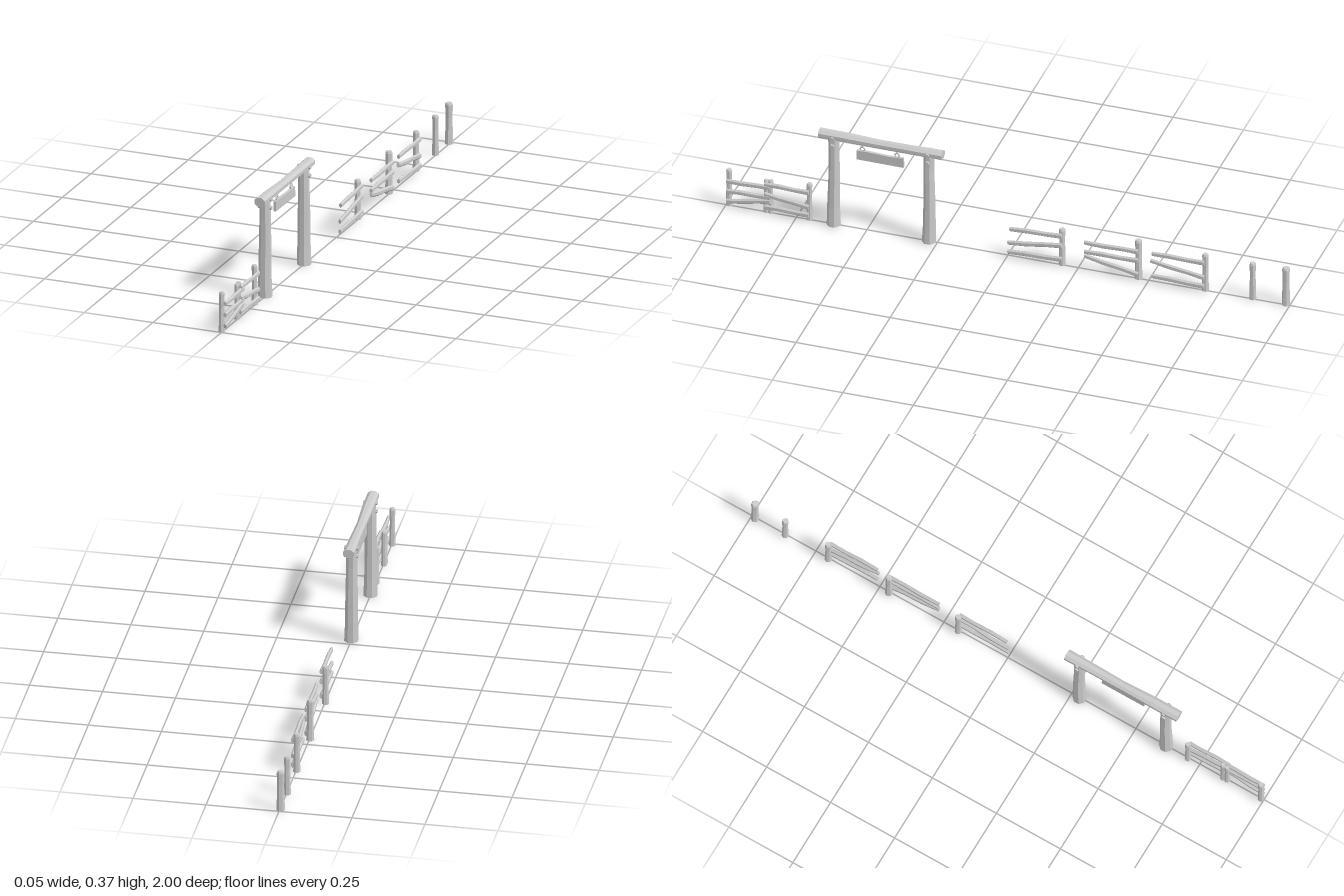
import * as THREE from 'three';

const material = new THREE.MeshStandardMaterial({ color: 0xcccccc, flatShading: true });

// Faceted log along a path in the y/z plane; each ring is [x, y, z, halfWidthX, halfThickness]
function log(name, rings, sides = 8) {
  const first = new THREE.Vector3(...rings[0].slice(0, 3));
  const last = new THREE.Vector3(...rings[rings.length - 1].slice(0, 3));
  const dir = last.clone().sub(first).normalize();
  const u = new THREE.Vector3(1, 0, 0);
  const v = dir.clone().cross(u).normalize();
  const pos = [], index = [];
  for (const [x, y, z, a, b] of rings) {
    for (let i = 0; i < sides; i++) {
      const t = ((i + 0.5) / sides) * Math.PI * 2;
      const k = 1 / Math.cos(Math.PI / sides);
      const p = new THREE.Vector3(x, y, z)
        .addScaledVector(u, Math.cos(t) * a * k)
        .addScaledVector(v, Math.sin(t) * b * k);
      pos.push(p.x, p.y, p.z);
    }
  }
  for (let r = 0; r < rings.length - 1; r++) {
    for (let i = 0; i < sides; i++) {
      const a = r * sides + i, b = r * sides + ((i + 1) % sides);
      index.push(a, b, b + sides, a, b + sides, a + sides);
    }
  }
  const end = (rings.length - 1) * sides;
  for (let i = 1; i < sides - 1; i++) {
    index.push(0, i + 1, i, end, end + i, end + i + 1);
  }
  const geometry = new THREE.BufferGeometry();
  geometry.setAttribute('position', new THREE.Float32BufferAttribute(pos, 3));
  geometry.setIndex(index);
  geometry.computeVertexNormals();
  const mesh = new THREE.Mesh(geometry, material);
  mesh.name = name;
  return mesh;
}

function add(parent, name, geometry, x, y, z) {
  const mesh = new THREE.Mesh(geometry, material);
  mesh.name = name;
  mesh.position.set(x, y, z);
  parent.add(mesh);
  return mesh;
}

// Upright fence post with an uneven shaft and a chamfered top
function fencePost(z, height, r = 0.01, x = -0.003) {
  return log('fencePost', [
    [x, 0, z, r * 1.15, r * 1.1],
    [x, height * 0.3, z, r, r],
    [x, height * 0.65, z, r * 0.9, r * 0.9],
    [x, height * 0.95, z, r * 1.05, r],
    [x, height, z, r * 0.8, r * 0.8],
  ], 7);
}

// Split rail, slightly crooked, from (z0, y0) to (z1, y1)
function fenceRail(z0, y0, z1, y1, bend) {
  const at = (t, lift, a, b) => [0.011 + lift * 0.4, y0 + (y1 - y0) * t + lift, z0 + (z1 - z0) * t, a, b];
  return log('fenceRail', [
    at(0, 0, 0.005, 0.0075),
    at(0.35, bend, 0.006, 0.0085),
    at(0.7, -bend * 0.5, 0.0055, 0.008),
    at(1, 0, 0.006, 0.009),
  ], 6);
}

export function createModel() {
  const model = new THREE.Group();
  model.name = 'ranchGateAndFence';

  // Gate
  const gate = new THREE.Group();
  gate.name = 'gate';
  model.add(gate);
  for (const z of [0.618, 0.28]) {
    const s = z > 0.4 ? 1 : -1;
    gate.add(log('gatePost', [
      [0, 0, z, 0.023, 0.022],
      [-0.001, 0.07, z + 0.001 * s, 0.021, 0.02],
      [-0.001, 0.18, z - 0.001, 0.02, 0.018],
      [-0.001, 0.28, z - 0.001 * s, 0.018, 0.017],
      [-0.001, 0.345, z, 0.017, 0.018],
    ]));
    // Pegs through the joint, showing on both faces
    for (const y of [0.35, 0.32]) {
      const peg = new THREE.CylinderGeometry(0.007, 0.007, 0.048, 6);
      peg.rotateZ(Math.PI / 2);
      add(gate, 'peg', peg, 0, y, z);
    }
  }
  gate.add(log('crossBeam', [
    [0, 0.353, 0.668, 0.019, 0.016],
    [0, 0.353, 0.57, 0.019, 0.015],
    [-0.001, 0.349, 0.45, 0.016, 0.014],
    [0, 0.35, 0.35, 0.017, 0.014],
    [0, 0.351, 0.23, 0.019, 0.015],
  ]));

  // Hanging sign board
  const sign = new THREE.Group();
  sign.name = 'hangingSign';
  gate.add(sign);
  const board = new THREE.Shape([
    [-0.083, 0.276], [0.083, 0.275], [0.082, 0.311], [0.03, 0.309], [-0.04, 0.312], [-0.083, 0.311],
  ].map(([x, y]) => new THREE.Vector2(x, y)));
  const boardGeometry = new THREE.ExtrudeGeometry(board, { depth: 0.01, bevelEnabled: false });
  boardGeometry.translate(0, 0, -0.005).rotateY(Math.PI / 2);
  add(sign, 'signBoard', boardGeometry, 0, 0, 0.452);
  for (const z of [0.516, 0.393]) {
    const ring = new THREE.TorusGeometry(0.008, 0.0025, 5, 8);
    ring.rotateY(Math.PI / 2);
    add(sign, 'signRing', ring, 0, 0.318, z);
    add(sign, 'signHook', new THREE.CylinderGeometry(0.003, 0.003, 0.02, 6), 0, 0.333, z);
  }

  // Fence runs: posts [z, height, radius], rails [z0, y0, z1, y1]
  const runs = [
    {
      posts: [[0.99, 0.142, 0.009], [0.858, 0.126, 0.008], [0.842, 0.128, 0.008], [0.705, 0.142, 0.009]],
      rails: [
        [0.995, 0.102, 0.84, 0.104], [0.995, 0.062, 0.84, 0.066], [0.995, 0.022, 0.84, 0.05],
        [0.86, 0.115, 0.703, 0.113], [0.86, 0.077, 0.703, 0.054], [0.86, 0.026, 0.703, 0.024],
      ],
    },
    {
      posts: [[-0.192, 0.142, 0.01]],
      rails: [[-0.01, 0.112, -0.195, 0.12], [-0.003, 0.057, -0.195, 0.082], [-0.003, 0.021, -0.195, 0.028]],
    },
    {
      posts: [[-0.463, 0.152, 0.011]],
      rails: [[-0.275, 0.112, -0.465, 0.112], [-0.275, 0.075, -0.465, 0.077], [-0.275, 0.06, -0.465, 0.022]],
    },
    {
      posts: [[-0.7, 0.143, 0.01]],
      rails: [[-0.515, 0.115, -0.7, 0.115], [-0.51, 0.087, -0.7, 0.056], [-0.515, 0.027, -0.7, 0.022]],
    },
    { posts: [[-0.868, 0.142, 0.01], [-0.986, 0.147, 0.012]], rails: [] },
  ];
  runs.forEach(({ posts, rails }, n) => {
    const run = new THREE.Group();
    run.name = rails.length ? 'fenceSection' : 'loosePosts';
    posts.forEach(([z, h, r]) => run.add(fencePost(z, h, r)));
    rails.forEach((rail, i) => run.add(fenceRail(...rail, (i + n) % 2 ? 0.002 : -0.002)));
    model.add(run);
  });

  return model;
}
